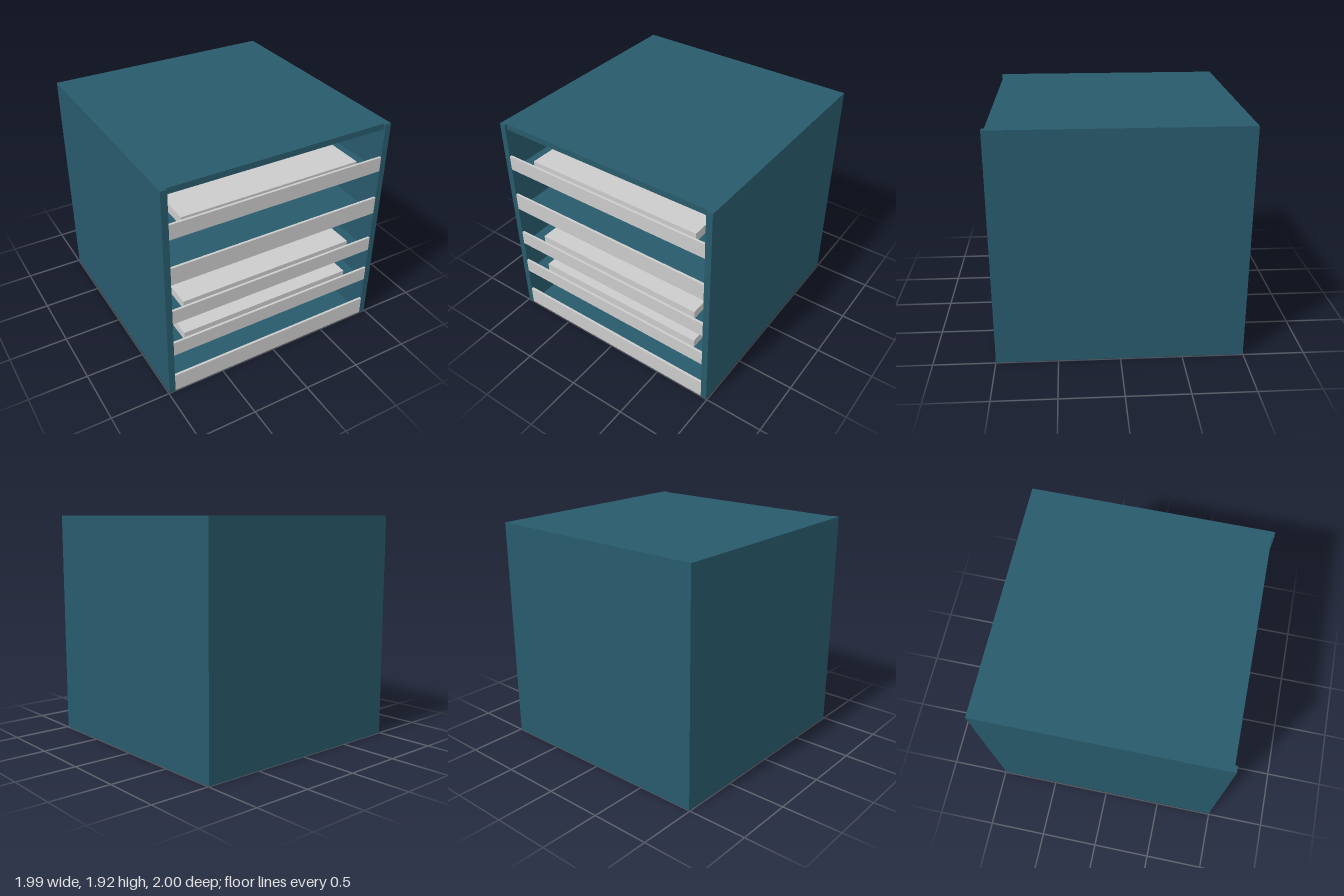
import * as THREE from 'three';

export function createModel() {
  const group = new THREE.Group();
  const blue = new THREE.MeshStandardMaterial({ color: 0x285a6b });
  const grey = new THREE.MeshStandardMaterial({ color: 0xcccccc });

  // Box given by its minimum and maximum corners
  function panel(name, material, [x0, y0, z0], [x1, y1, z1]) {
    const geometry = new THREE.BoxGeometry(x1 - x0, y1 - y0, z1 - z0);
    const mesh = new THREE.Mesh(geometry, material);
    mesh.position.set((x0 + x1) / 2, (y0 + y1) / 2, (z0 + z1) / 2);
    mesh.name = name;
    group.add(mesh);
  }

  const W = 0.993, IN = 0.94, H = 1.92, BACK = -0.98, FRONT = 0.98;

  // Carcass: two sides, top and back
  panel('leftSide', blue, [IN, 0, BACK], [W, H, 1]);
  panel('rightSide', blue, [-W, 0, BACK], [-IN, H, 1]);
  panel('top', blue, [-IN, 1.87, BACK], [IN, H, FRONT]);
  panel('backPanel', blue, [-W, 0, -1], [W, H, BACK]);

  // Thin shelves with a front lip; some carry a low block
  const shelves = [
    { y: 0, lip: 0.17, block: false },
    { y: 0.385, lip: 0.52, block: true },
    { y: 0.71, lip: 0.845, block: true },
    { y: 1.09, lip: 1.25, block: false },
    { y: 1.495, lip: 1.63, block: true },
  ];
  for (const { y, lip, block } of shelves) {
    const floor = y + 0.01;
    panel('shelf', blue, [-IN, y, BACK], [IN, floor, FRONT]);
    panel('shelfLip', grey, [-IN, floor - 0.003, FRONT], [IN, lip, 1]);
    if (block) panel('shelfBlock', grey, [-0.79, floor, -0.87], [0.79, floor + 0.075, 0.89]);
  }
  return group;
}
